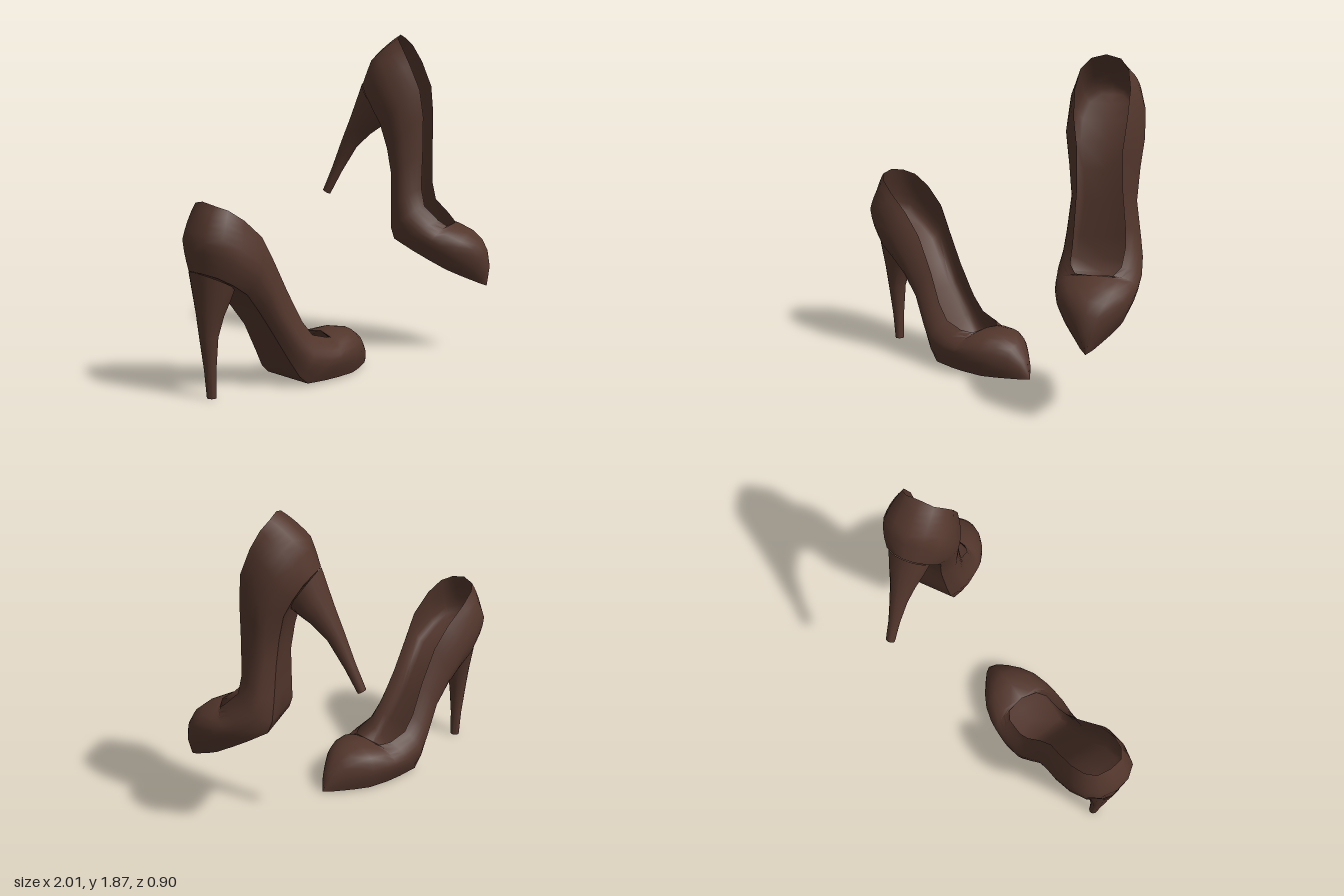
import * as THREE from 'three';
import { toCreasedNormals } from 'three/addons/utils/BufferGeometryUtils.js';

// Matching stations from the back of the heel to the toe: [x, y, half width]
const COLLAR = [
  [-0.92, 1.05, 0], [-0.905, 1.035, 0.08], [-0.85, 1.01, 0.125], [-0.76, 0.95, 0.145],
  [-0.64, 0.85, 0.14], [-0.55, 0.72, 0.12], [-0.45, 0.53, 0.12], [-0.36, 0.355, 0.135],
  [-0.29, 0.27, 0.14], [-0.18, 0.238, 0.135], [-0.125, 0.226, 0.1], [-0.105, 0.24, 0],
  [0, 0.25, 0], [0.08, 0.235, 0], [0.14, 0.195, 0], [0.2, 0.12, 0], [0.238, 0.02, 0],
];
const BELLY = [
  [-1, 0.85, 0], [-0.985, 0.85, 0.09], [-0.93, 0.83, 0.165], [-0.83, 0.77, 0.2],
  [-0.7, 0.68, 0.21], [-0.61, 0.55, 0.19], [-0.52, 0.4, 0.175], [-0.42, 0.24, 0.2],
  [-0.35, 0.16, 0.215], [-0.24, 0.135, 0.225], [-0.15, 0.13, 0.22], [-0.09, 0.13, 0.212],
  [0, 0.125, 0.185], [0.08, 0.115, 0.14], [0.145, 0.095, 0.09], [0.2, 0.06, 0.045], [0.24, 0.015, 0],
];
const SOLE = [
  [-0.985, 0.69, 0], [-0.97, 0.685, 0.06], [-0.92, 0.665, 0.12], [-0.84, 0.62, 0.15],
  [-0.75, 0.56, 0.15], [-0.65, 0.45, 0.125], [-0.56, 0.33, 0.115], [-0.46, 0.16, 0.14],
  [-0.4, 0.06, 0.16], [-0.35, 0.015, 0.17], [-0.22, 0.012, 0.175], [-0.12, 0.012, 0.172],
  [0, 0.01, 0.15], [0.08, 0.01, 0.11], [0.145, 0.01, 0.07], [0.2, 0.01, 0.035], [0.24, 0.01, 0],
];
const VAMP = 11; // first station where the top is closed

const mix = (a, b, t) => a.map((v, i) => v + (b[i] - v) * t);
const bend = (a, k, b, t) => mix(mix(a, k, t), mix(k, b, t), t);

// Skins grids of points; normals follow (row direction) x (column direction)
function skin(grids) {
  const pos = [];
  for (const { rows, flip } of grids) {
    for (let i = 0; i < rows.length - 1; i++) {
      for (let j = 0; j < rows[i].length - 1; j++) {
        const a = rows[i][j], b = rows[i + 1][j], c = rows[i + 1][j + 1], d = rows[i][j + 1];
        for (const t of [[a, b, c], [a, c, d]]) {
          const [p, q, r] = flip ? [t[0], t[2], t[1]] : t;
          const same = (m, n) => Math.hypot(m[0] - n[0], m[1] - n[1], m[2] - n[2]) < 1e-6;
          if (!same(p, q) && !same(q, r) && !same(r, p)) pos.push(...p, ...q, ...r);
        }
      }
    }
  }
  const g = new THREE.BufferGeometry();
  g.setAttribute('position', new THREE.Float32BufferAttribute(pos, 3));
  return toCreasedNormals(g, 0.95);
}

// Half sections mirrored across the centre line
const mirrored = (rows) => skin([1, -1].map((s) => ({
  rows: rows.map((row) => row.map(([x, y, w]) => [x, y, s * w])),
  flip: s < 0,
})));

// Outer wall: sole edge, belly, then collar or vamp ridge
function upperSection(i) {
  const a = SOLE[i], m = BELLY[i], b = COLLAR[i], closed = i >= VAMP;
  const low = mix(a, m, 0.5);
  low[2] = m[2] * 0.97;
  const high = [m[0] + (b[0] - m[0]) * 0.4, m[1] + (b[1] - m[1]) * (closed ? 0.95 : 0.6), m[2] * 0.97];
  const row = [];
  for (let k = 0; k < 3; k++) row.push(bend(a, low, m, k / 3));
  for (let k = 0; k <= 5; k++) row.push(bend(m, high, b, k / 5));
  return row;
}

// Inner wall and insole, running on into the toe box
function liningSection(i) {
  const a = SOLE[i], b = COLLAR[i];
  const top = i > VAMP ? mix(b, a, 0.1) : b;
  const mid = mix(BELLY[i], mix(a, b, 0.5), 0.35);
  mid[2] = BELLY[i][2] * 0.88;
  const floor = mix(a, b, 0.22);
  floor[2] = a[2] * 0.95;
  const row = [];
  const ctrl = mid.map((v, k) => 2 * v - (top[k] + floor[k]) / 2);
  for (let k = 0; k <= 5; k++) row.push(bend(top, ctrl, floor, k / 5));
  row.push([floor[0], floor[1], 0]);
  return row;
}

// Tapering heel from oval rings: [back x, back y, front x, front y, half width]
function heelGeometry() {
  const rings = [
    [-0.9, 0, -0.85, 0, 0.027], [-0.915, 0.15, -0.85, 0.15, 0.033],
    [-0.94, 0.33, -0.84, 0.33, 0.052], [-0.955, 0.46, -0.805, 0.44, 0.075],
    [-0.97, 0.57, -0.77, 0.51, 0.1], [-0.988, 0.69, -0.742, 0.57, 0.12],
  ];
  const rows = [];
  for (let k = 0; k <= 16; k++) {
    const t = (k / 16) * Math.PI * 2, c = Math.cos(t), s = Math.sin(t);
    const row = rings.map(([bx, by, fx, fy, w]) => [
      (bx + fx) / 2 + (c * (fx - bx)) / 2, (by + fy) / 2 + (c * (fy - by)) / 2, -s * w,
    ]);
    rows.push([[-0.875, 0, 0], ...row]);
  }
  return skin([{ rows, flip: false }]);
}

export function createModel() {
  const leather = new THREE.MeshStandardMaterial({ color: 0x52362c, side: THREE.DoubleSide });
  leather.name = 'brown leather';

  const stations = SOLE.map((_, i) => i);
  const parts = {
    upper: mirrored(stations.map(upperSection)),
    sole: mirrored(SOLE.map((p) => [[p[0], p[1], 0], p])),
    lining: mirrored(stations.slice(0, 15).map(liningSection)),
    heel: heelGeometry(),
  };
  const makeShoe = (name) => {
    const shoe = new THREE.Group();
    shoe.name = name;
    for (const [part, geometry] of Object.entries(parts)) {
      const mesh = new THREE.Mesh(geometry, leather);
      mesh.name = part;
      shoe.add(mesh);
    }
    return shoe;
  };

  const model = new THREE.Group();
  model.name = 'pair of pumps';

  const standing = makeShoe('standingShoe');
  standing.position.set(0, 0, 0.112);

  // Raised shoe, pitched toe down and turned to the front
  const raised = makeShoe('raisedShoe');
  const toe = new THREE.Vector3(0.446, -0.473, 0.759).normalize();
  const side = new THREE.Vector3().crossVectors(toe, new THREE.Vector3(0.238, 0.875, 0.432)).normalize();
  const up = new THREE.Vector3().crossVectors(side, toe);
  raised.quaternion.setFromRotationMatrix(new THREE.Matrix4().makeBasis(toe, up, side));
  raised.position.set(0.82, 0.506, 0.234);

  model.add(standing, raised);
  return model;
}
